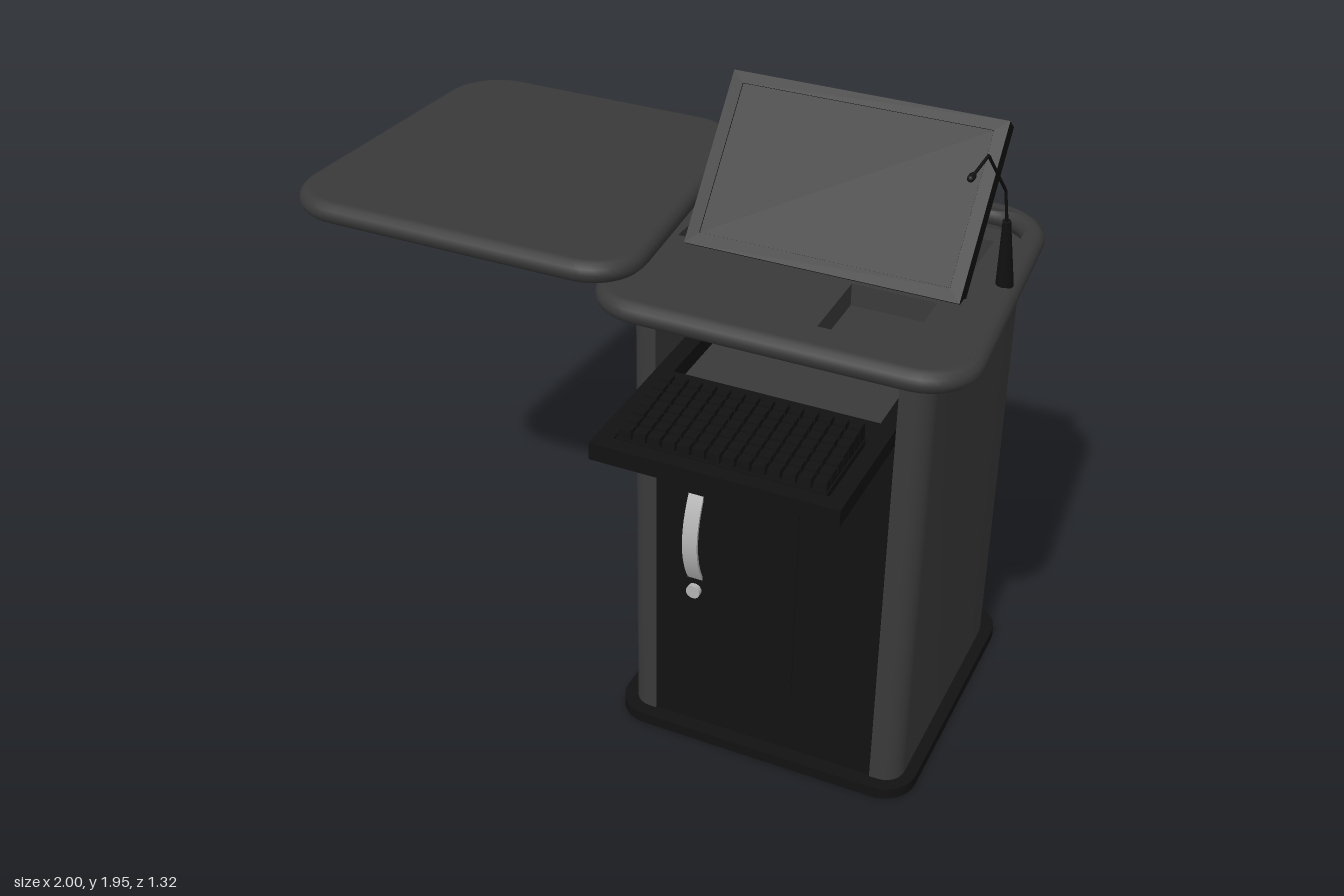
import * as THREE from 'three';
import { toCreasedNormals } from 'three/addons/utils/BufferGeometryUtils.js';

const mat = (color) => new THREE.MeshStandardMaterial({ color, side: THREE.DoubleSide });
const grey = mat(0x3a3a3a), black = mat(0x121212), screenMat = mat(0x0a0a0a), steel = mat(0xb4b4b4);
const CX = 0.465; // centre line of the cabinet

function add(parent, name, geometry, material, x = 0, y = 0, z = 0) {
  const mesh = new THREE.Mesh(geometry, material);
  mesh.name = name;
  mesh.position.set(x, y, z);
  parent.add(mesh);
  return mesh;
}

// Box given by its limits on each axis
function block(parent, name, material, [x0, x1], [y0, y1], [z0, z1]) {
  return add(parent, name, new THREE.BoxGeometry(x1 - x0, y1 - y0, z1 - z0), material,
    (x0 + x1) / 2, (y0 + y1) / 2, (z0 + z1) / 2);
}

// Closed outline in plan (x, z) with rounded corners; each corner is [x, z, radius]
function outline(corners, PathType = THREE.Shape) {
  const path = new PathType();
  const n = corners.length;
  corners.forEach(([x, z, r], i) => {
    const c = new THREE.Vector2(x, z);
    const toward = (k) => {
      const [px, pz] = corners[(k + n) % n];
      return new THREE.Vector2(px, pz).sub(c).setLength(r).add(c);
    };
    const a = toward(i - 1), b = toward(i + 1);
    if (i === 0) path.moveTo(a.x, a.y); else path.lineTo(a.x, a.y);
    if (r > 0) path.bezierCurveTo(
      a.x + (x - a.x) * 0.55, a.y + (z - a.y) * 0.55,
      b.x + (x - b.x) * 0.55, b.y + (z - b.y) * 0.55, b.x, b.y);
  });
  path.closePath();
  return path;
}

const rect = (x0, x1, z0, z1, rBack = 0, rFront = rBack) =>
  [[x0, z0, rBack], [x1, z0, rBack], [x1, z1, rFront], [x0, z1, rFront]];

// Plan outline extruded downwards from y = 0
function slab(shape, height) {
  const g = new THREE.ExtrudeGeometry(shape, { depth: height, bevelEnabled: false, curveSegments: 8 });
  return toCreasedNormals(g.rotateX(Math.PI / 2), 0.6);
}

// Tapered top board with a fully rounded edge
function board(parent, name, cx, cz, yTop, holes = []) {
  const r = 0.0325;
  const group = new THREE.Group();
  group.name = name;
  group.position.set(cx, yTop, cz);
  const shape = outline([
    [-0.47 + r, -0.5 + r, 0.13], [0.47 - r, -0.5 + r, 0.13],
    [0.54 - r, 0.5 - r, 0.13], [-0.54 + r, 0.5 - r, 0.13]]);
  const edge = new THREE.CatmullRomCurve3(
    shape.getSpacedPoints(120).slice(0, -1).map((p) => new THREE.Vector3(p.x, -r, p.y)), true);
  shape.holes = holes;
  add(group, name + 'Panel', slab(shape, 2 * r), grey);
  add(group, name + 'Edge', new THREE.TubeGeometry(edge, 160, r, 12, true), grey);
  parent.add(group);
}

function addCabinet(root) {
  add(root, 'base', slab(outline(rect(0.005, 0.92, -0.61, 0.31, 0.1)), 0.035), black, 0, 0.035, 0);
  // Thick shell, open at the front
  const shell = outline([
    [0.045, 0.27, 0.06], [0.045, -0.575, 0.09], [0.885, -0.575, 0.09], [0.885, 0.27, 0.06],
    [0.8, 0.27, 0], [0.8, -0.5, 0], [0.125, -0.5, 0], [0.125, 0.27, 0]]);
  add(root, 'cabinetShell', slab(shell, 1.355), grey, 0, 1.39, 0);
  block(root, 'shelf', grey, [0.125, 0.8], [1.12, 1.15], [-0.5, 0.245]);
  block(root, 'door', black, [0.127, 0.798], [0.035, 1.17], [0.235, 0.265]);
  block(root, 'doorPanel', black, [0.38, 0.55], [0.24, 0.97], [0.26, 0.268]);

  // Bowed strap handle and lock
  const bow = new THREE.Shape();
  bow.moveTo(0.262, 0.55);
  bow.quadraticCurveTo(0.352, 0.70, 0.262, 0.85);
  bow.lineTo(0.262, 0.835);
  bow.quadraticCurveTo(0.334, 0.70, 0.262, 0.565);
  bow.closePath();
  const strap = new THREE.ExtrudeGeometry(bow, { depth: 0.045, bevelEnabled: false, curveSegments: 16 });
  strap.rotateY(-Math.PI / 2).scale(1, 1, 1);
  add(root, 'doorHandle', toCreasedNormals(strap, 0.6), steel, 0.268, 0, 0);
  add(root, 'doorLock', new THREE.CylinderGeometry(0.021, 0.021, 0.02, 24).rotateX(Math.PI / 2),
    steel, 0.245, 0.517, 0.27);
}

function addKeyboardTray(root) {
  const tray = new THREE.Group();
  tray.name = 'keyboardTray';
  const y = [1.17, 1.22];
  block(tray, 'trayRail', black, [0.125, 0.173], y, [-0.1, 0.66]);
  block(tray, 'trayRail', black, [0.755, 0.8], y, [-0.1, 0.66]);
  block(tray, 'trayFront', black, [0.173, 0.755], y, [0.615, 0.66]);
  block(tray, 'trayBack', black, [0.173, 0.755], y, [0.26, 0.355]);
  block(tray, 'keyboardBase', black, [0.18, 0.748], [1.175, 1.225], [0.35, 0.616]);
  // Keys rise row by row towards the back
  const rows = 7, cols = 14, dx = 0.565 / cols, dz = 0.265 / rows;
  for (let r = 0; r < rows; r++) {
    for (let c = 0; c < cols; c++) {
      const h = 0.028 + r * 0.0035;
      const key = new THREE.CylinderGeometry(0.6 * dz, 0.68 * dz, h, 4).rotateY(Math.PI / 4);
      add(tray, 'key', key.toNonIndexed(), black,
        0.182 + (c + 0.5) * dx, 1.222 + h / 2, 0.613 - (r + 0.5) * dz).geometry.computeVertexNormals();
    }
  }
  root.add(tray);
}

function addMonitor(root) {
  const monitor = new THREE.Group();
  monitor.name = 'monitor';
  monitor.position.set(CX, 1.455, -0.01);
  monitor.rotation.x = -0.7;
  block(monitor, 'monitorBody', black, [-0.39, 0.39], [0, 0.497], [-0.055, -0.004]);
  // Raised bezel around the screen
  const bezel = outline(rect(-0.39, 0.39, 0, 0.497));
  bezel.holes.push(outline(rect(-0.355, 0.355, 0.035, 0.465), THREE.Path));
  add(monitor, 'monitorBezel',
    new THREE.ExtrudeGeometry(bezel, { depth: 0.004, bevelEnabled: false }), black, 0, 0, -0.004);
  block(monitor, 'screen', screenMat, [-0.354, 0.354], [0.036, 0.464], [-0.006, -0.003]);
  root.add(monitor);
}

function addMicrophone(root) {
  const mic = new THREE.Group();
  mic.name = 'microphone';
  mic.position.x = 0.925;
  const pts = [[1.44, -0.175], [1.655, -0.128], [1.76, -0.085], [1.94, 0.11], [1.94, 0.25]]
    .map(([y, z]) => new THREE.Vector3(0, y, z));
  // Straight rod between two points
  const rod = (name, a, b, rA, rB) => {
    const mesh = add(mic, name, new THREE.CylinderGeometry(rB, rA, a.distanceTo(b), 12), black);
    mesh.position.copy(a).add(b).multiplyScalar(0.5);
    mesh.quaternion.setFromUnitVectors(new THREE.Vector3(0, 1, 0), b.clone().sub(a).normalize());
  };
  rod('microphoneStand', pts[0], pts[1], 0.025, 0.011);
  for (let i = 1; i < 4; i++) rod('microphoneNeck', pts[i], pts[i + 1], 0.004, 0.004);
  add(mic, 'microphoneHead', new THREE.CapsuleGeometry(0.009, 0.016, 4, 12).rotateX(Math.PI / 2),
    black, 0, 1.94, 0.24);
  root.add(mic);
}

export function createModel() {
  const root = new THREE.Group();
  root.name = 'lectern';
  addCabinet(root);

  // Worktop with an equipment well and a small square opening
  const cz = -0.14;
  const well = outline(rect(0.04 - CX, 0.89 - CX, -0.585 - cz, -0.05 - cz, 0.07, 0), THREE.Path);
  const pocket = outline(rect(0.565 - CX, 0.8 - CX, 0 - cz, 0.245 - cz), THREE.Path);
  board(root, 'worktop', CX, cz, 1.45, [well, pocket]);

  // Sliding lid, moved aside
  board(root, 'lid', -0.47, -0.157, 1.525);

  addKeyboardTray(root);
  addMonitor(root);
  addMicrophone(root);
  return root;
}
